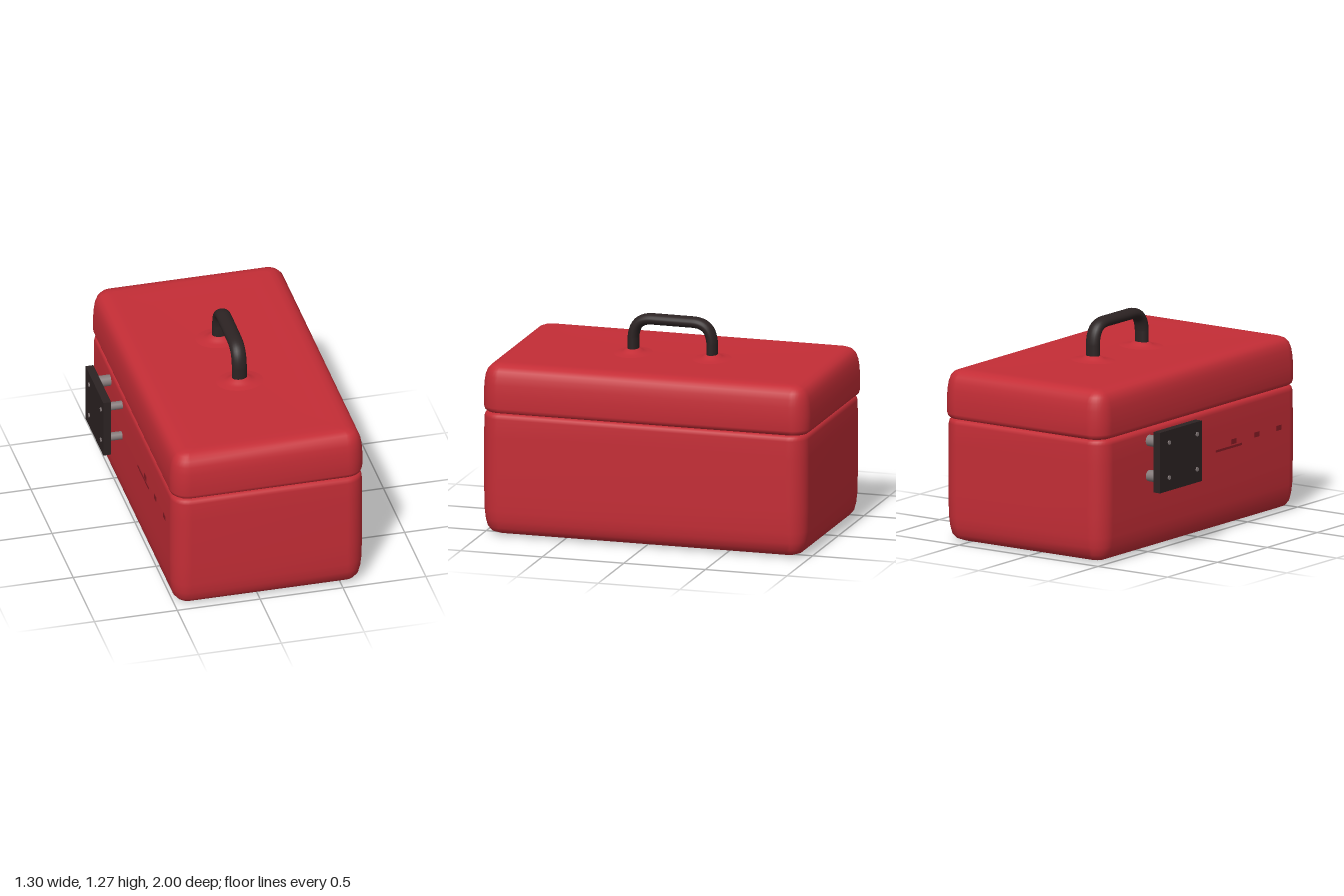
import * as THREE from 'three';

const red = new THREE.MeshStandardMaterial({ color: 0xc42d36 });
red.name = 'red shell';
const darkRed = new THREE.MeshStandardMaterial({ color: 0x861b24 });
darkRed.name = 'dark red notch';
const black = new THREE.MeshStandardMaterial({ color: 0x2c2323 });
black.name = 'black grip';
const grey = new THREE.MeshStandardMaterial({ color: 0x857a7a });
grey.name = 'grey metal';

// Stacks rounded-rectangle rings; each profile entry is [y, inset], both ends are closed.
function softBox(halfX, halfZ, radius, profile) {
  const steps = 8, count = 4 * (steps + 1), pos = [], index = [];
  const addRing = (y, inset, scale) => {
    const r = Math.max(radius - inset, 0.04);
    for (let q = 0; q < 4; q++) {
      const sx = q === 0 || q === 3 ? 1 : -1, sz = q < 2 ? 1 : -1;
      for (let s = 0; s <= steps; s++) {
        const a = (q + s / steps) * Math.PI / 2;
        pos.push(scale * (sx * (halfX - inset - r) + r * Math.cos(a)), y,
          scale * (sz * (halfZ - inset - r) + r * Math.sin(a)));
      }
    }
  };
  const first = profile[0], last = profile[profile.length - 1];
  addRing(first[0], first[1], 0);
  profile.forEach(([y, inset]) => addRing(y, inset, 1));
  addRing(last[0], last[1], 0);
  for (let k = 0; k < profile.length + 1; k++) {
    for (let i = 0; i < count; i++) {
      const a = k * count + i, b = k * count + (i + 1) % count;
      index.push(a, a + count, b, b, a + count, b + count);
    }
  }
  const geo = new THREE.BufferGeometry();
  geo.setAttribute('position', new THREE.Float32BufferAttribute(pos, 3));
  geo.setIndex(index);
  geo.computeVertexNormals();
  return geo;
}

export function createModel() {
  const model = new THREE.Group();
  const add = (name, geo, mat, x = 0, y = 0, z = 0) => {
    const mesh = new THREE.Mesh(geo, mat);
    mesh.name = name;
    mesh.position.set(x, y, z);
    model.add(mesh);
    return mesh;
  };
  const cx = 0.06;

  // Lower box with a softly rounded bottom
  add('body', softBox(0.58, 0.993, 0.11, [
    [0.004, 0.22], [0.006, 0.13], [0.012, 0.085], [0.028, 0.045], [0.055, 0.022],
    [0.1, 0.01], [0.16, 0.003], [0.3, 0], [0.6, 0], [0.715, 0.002],
    [0.735, 0.008], [0.745, 0.022], [0.746, 0.06], [0.746, 0.12],
  ]), red, cx, 0, 0.006);

  // Lid with a softly rounded top
  add('lid', softBox(0.582, 1, 0.11, [
    [0.746, 0.12], [0.747, 0.06], [0.75, 0.022], [0.76, 0.008], [0.78, 0.001],
    [0.86, 0], [0.92, 0.004], [0.965, 0.011], [1.0, 0.024], [1.022, 0.045],
    [1.034, 0.075], [1.039, 0.11], [1.037, 0.2], [1.035, 0.3],
  ]), red, cx);

  // Carrying handle, a wide flattened loop
  const v = (y, z) => new THREE.Vector3(0, y, z);
  const path = new THREE.CurvePath();
  path.add(new THREE.LineCurve3(v(1.0, 0.233), v(1.13, 0.233)));
  path.add(new THREE.CubicBezierCurve3(v(1.13, 0.233), v(1.21, 0.225), v(1.245, 0.19), v(1.245, 0.11)));
  path.add(new THREE.LineCurve3(v(1.245, 0.11), v(1.245, -0.13)));
  path.add(new THREE.CubicBezierCurve3(v(1.245, -0.13), v(1.245, -0.21), v(1.21, -0.243), v(1.13, -0.251)));
  path.add(new THREE.LineCurve3(v(1.13, -0.251), v(1.0, -0.251)));
  const handle = add('handle', new THREE.TubeGeometry(path, 64, 0.033, 20), black, 0.073);
  handle.scale.x = 1.36;
  handle.rotation.y = -0.01;

  // Flared mounts where the handle meets the lid
  const flare = [[0.15, 1.034], [0.1, 1.039], [0.07, 1.047], [0.052, 1.06], [0.03, 1.063]]
    .map(([r, y]) => new THREE.Vector2(r, y));
  for (const z of [0.233, -0.251]) {
    const mount = add('handleMount', new THREE.LatheGeometry(flare, 32), red, 0.073, 0, z);
    mount.scale.z = 0.8;
    mount.material.side = THREE.DoubleSide;
  }

  // Side latch plate standing off the wall on four pins
  add('latchPlate', new THREE.BoxGeometry(0.047, 0.362, 0.42), black, -0.6245, 0.567, -0.375);
  for (const [z, r] of [[-0.515, 0.034], [-0.235, 0.025]]) {
    for (const y of [0.675, 0.465]) {
      const pin = add('latchPin', new THREE.CylinderGeometry(r, r, 0.12, 16), grey, -0.55, y, z);
      pin.rotation.z = Math.PI / 2;
      const rivet = add('latchRivet', new THREE.CylinderGeometry(0.013, 0.013, 0.008, 12), grey, -0.65, y, z + 0.02);
      rivet.rotation.z = Math.PI / 2;
    }
  }

  // Small notches along the latch wall
  for (const z of [0.33, 0.56, 0.78]) {
    add('wallNotch', new THREE.BoxGeometry(0.006, 0.03, 0.05), darkRed, -0.52, 0.52, z);
  }
  add('wallSlot', new THREE.BoxGeometry(0.006, 0.014, 0.26), darkRed, -0.52, 0.49, 0.28);

  return model;
}
